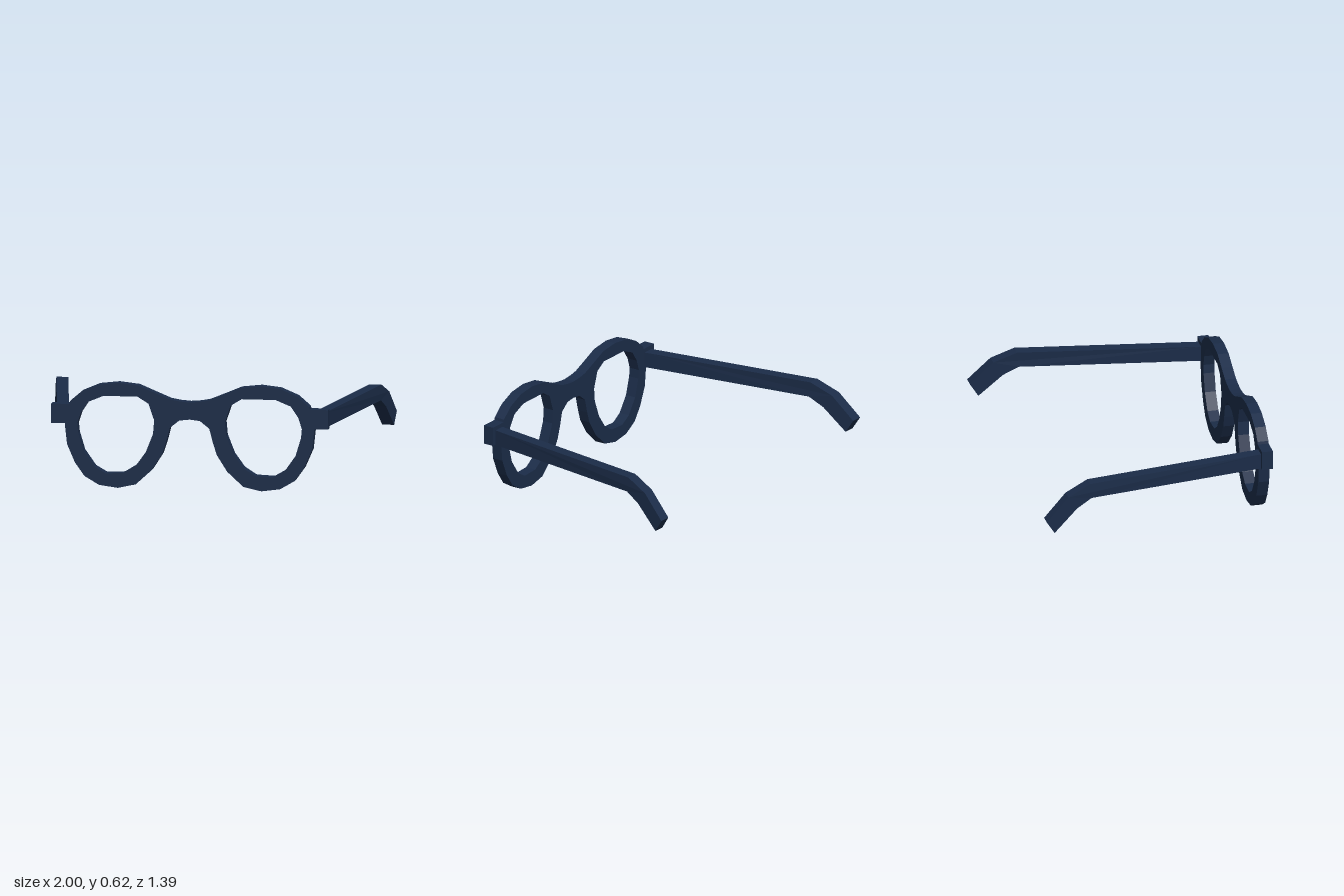
import * as THREE from 'three';

const material = new THREE.MeshStandardMaterial({ color: 0x1b2c48, flatShading: true });
const FRONT = 0.695, BACK = 0.63, ARM_WIDTH = 0.07;

const points = (list) => list.map(([x, y]) => new THREE.Vector2(x, y));
const mirrored = (list) => list.map(([x, y]) => [-x, y]).reverse();

// Half outline of the front, from the top of the bridge round to its underside
const halfOutline = [
  [0.06, 0.52], [0.115, 0.53], [0.20, 0.565], [0.30, 0.607], [0.417, 0.62], [0.53, 0.607],
  [0.63, 0.565], [0.70, 0.505], [0.73, 0.375], [0.717, 0.255], [0.67, 0.147], [0.615, 0.07],
  [0.53, 0.02], [0.42, 0.005], [0.315, 0.028], [0.22, 0.115], [0.16, 0.21], [0.137, 0.28],
  [0.115, 0.365], [0.06, 0.408],
];

// Lens opening of the +x side
const opening = [
  [0.503, 0.542], [0.305, 0.542], [0.24, 0.502], [0.207, 0.405], [0.214, 0.325],
  [0.257, 0.217], [0.315, 0.137], [0.385, 0.093], [0.49, 0.088], [0.556, 0.126],
  [0.62, 0.217], [0.652, 0.323], [0.657, 0.375], [0.636, 0.44], [0.593, 0.505],
];

// Side profile of a temple arm as (z, y), bending down behind the ear
const armProfile = [
  [0.64, 0.465], [-0.425, 0.465], [-0.56, 0.405], [-0.693, 0.27],
  [-0.645, 0.195], [-0.505, 0.325], [-0.415, 0.375], [0.64, 0.375],
];

// Distance of an arm's inner face from the middle: the arms splay towards the back
function armOffset(z) {
  return z > -0.42
    ? THREE.MathUtils.mapLinear(z, 0.63, -0.42, 0.715, 0.88)
    : THREE.MathUtils.mapLinear(z, -0.42, -0.693, 0.88, 0.93);
}

function addMesh(group, name, geometry) {
  const mesh = new THREE.Mesh(geometry, material);
  mesh.name = name;
  group.add(mesh);
}

function frontGeometry() {
  const shape = new THREE.Shape(points([
    [0, 0.515], ...halfOutline, [0, 0.415], ...mirrored(halfOutline),
  ]));
  shape.holes.push(new THREE.Path(points(opening)), new THREE.Path(points(mirrored(opening))));
  return new THREE.ExtrudeGeometry(shape, { depth: FRONT - BACK, bevelEnabled: false })
    .translate(0, 0, BACK);
}

function armGeometry(side) {
  const geometry = new THREE.ExtrudeGeometry(new THREE.Shape(points(armProfile)), {
    depth: ARM_WIDTH, bevelEnabled: false,
  }).rotateY(-Math.PI / 2);
  const position = geometry.attributes.position;
  for (let i = 0; i < position.count; i++) {
    const offset = armOffset(position.getZ(i));
    const x = position.getX(i); // runs from -ARM_WIDTH to 0
    position.setX(i, side > 0 ? x + ARM_WIDTH + offset : x - offset);
  }
  geometry.computeVertexNormals();
  return geometry;
}

export function createModel() {
  const model = new THREE.Group();
  model.name = 'eyeglasses';

  // Rims and bridge in one piece
  addMesh(model, 'frontFrame', frontGeometry());

  // Hinge block and temple arm on each side
  for (const [side, name] of [[1, 'left'], [-1, 'right']]) {
    const hinge = new THREE.BoxGeometry(0.11, 0.113, FRONT - BACK);
    addMesh(model, name + 'Hinge', hinge.translate(side * 0.755, 0.433, (FRONT + BACK) / 2));
    addMesh(model, name + 'Temple', armGeometry(side));
  }
  return model;
}
